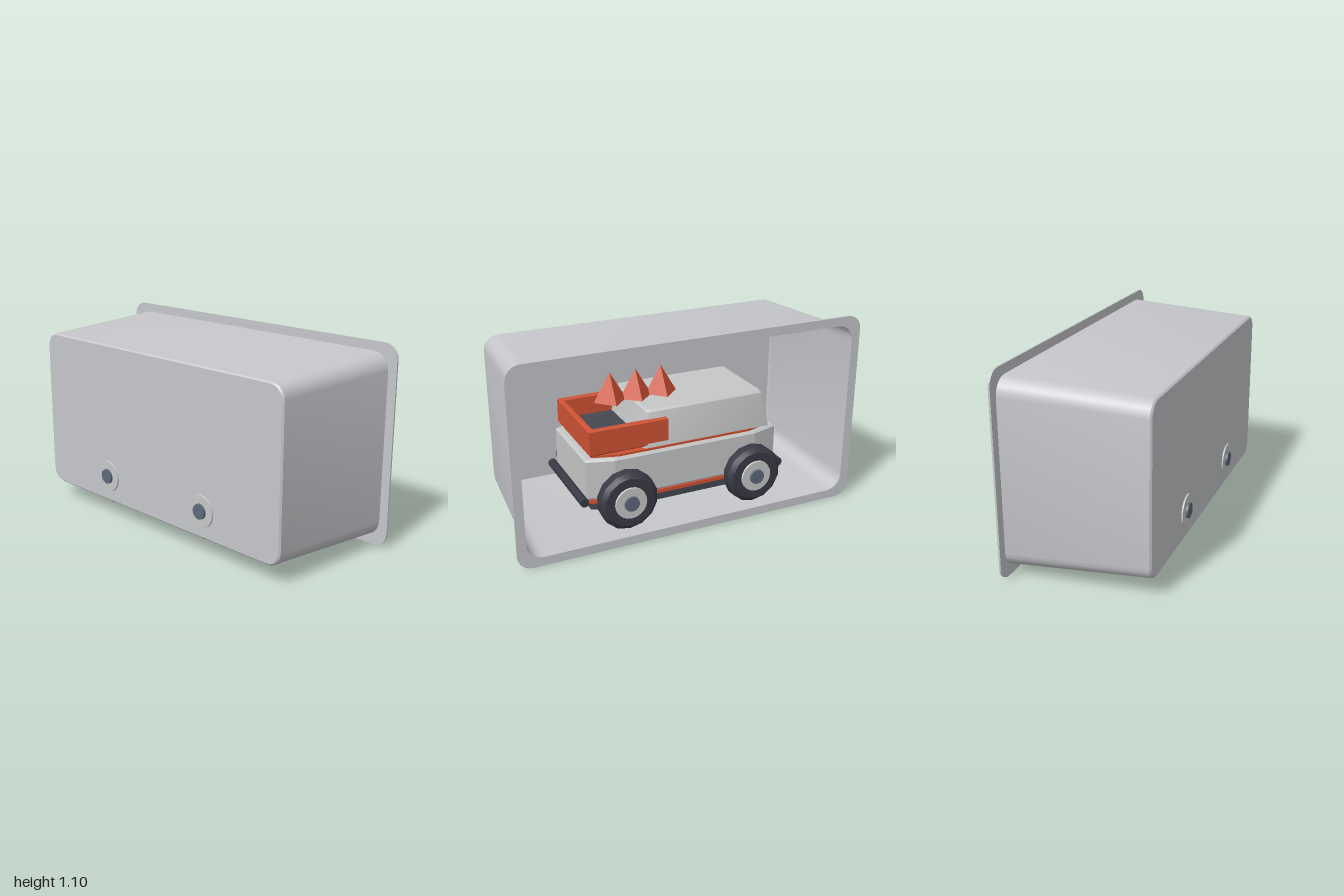
import * as THREE from 'three';
import { toCreasedNormals, mergeGeometries } from 'three/addons/utils/BufferGeometryUtils.js';

const mat = (name, color, side = THREE.FrontSide) => {
  const m = new THREE.MeshStandardMaterial({ color, side });
  m.name = name;
  return m;
};

// Counter-clockwise outline of a rounded rectangle
function roundedRect(cx, cy, hw, hh, r, seg = 5) {
  const pts = [];
  const corners = [[1, 1], [-1, 1], [-1, -1], [1, -1]];
  corners.forEach(([sx, sy], k) => {
    for (let i = 0; i <= seg; i++) {
      const a = (k + i / seg) * Math.PI / 2;
      pts.push(new THREE.Vector2(
        cx + sx * (hw - r) + Math.cos(a) * r,
        cy + sy * (hh - r) + Math.sin(a) * r));
    }
  });
  return pts;
}

// Skin a stack of outlines along z and cap the last one
function loft(layers, crease = 0.5) {
  const pos = [];
  const n = layers[0].pts.length;
  const put = (l, i) => pos.push(l.pts[i % n].x, l.pts[i % n].y, l.z);
  for (let k = 0; k < layers.length - 1; k++) {
    const a = layers[k], b = layers[k + 1];
    for (let i = 0; i < n; i++) {
      put(a, i); put(a, i + 1); put(b, i + 1);
      put(a, i); put(b, i + 1); put(b, i);
    }
  }
  const skin = new THREE.BufferGeometry();
  skin.setAttribute('position', new THREE.Float32BufferAttribute(pos, 3));
  skin.computeVertexNormals();
  const last = layers[layers.length - 1];
  const cap = new THREE.ShapeGeometry(new THREE.Shape(last.pts)).toNonIndexed();
  cap.translate(0, 0, last.z);
  cap.deleteAttribute('uv');
  return toCreasedNormals(mergeGeometries([skin, cap]), crease);
}

// Extrude a plan outline (x, -z) upward from y0 to y1 with a small bevel
function slab(points, y0, y1, bevel) {
  const shape = new THREE.Shape(points.map(([x, y]) => new THREE.Vector2(x, y)));
  const g = new THREE.ExtrudeGeometry(shape, {
    depth: y1 - y0 - 2 * bevel, bevelEnabled: bevel > 0, bevelSegments: 1,
    bevelSize: bevel, bevelThickness: bevel, bevelOffset: -bevel,
  });
  g.rotateX(-Math.PI / 2).translate(0, y0 + bevel, 0);
  return g;
}

export function createModel() {
  const shellGrey = mat('shell grey', 0xc6c7cb, THREE.DoubleSide);
  const bodyGrey = mat('body grey', 0xc6c8c8);
  const orange = mat('orange', 0xcf5234);
  const tyreDark = mat('tyre charcoal', 0x3a3a46);
  const bedDark = mat('bed charcoal', 0x454752);
  const hubSlate = mat('hub slate', 0x5c6878);

  const model = new THREE.Group();
  model.name = 'toyTruckInCase';
  const add = (parent, name, geo, material, x = 0, y = 0, z = 0) => {
    const m = new THREE.Mesh(geo, material);
    m.name = name;
    m.position.set(x, y, z);
    parent.add(m);
    return m;
  };

  // Case: tapered tub open at the back, with a flat flange
  const tub = loft([
    { pts: roundedRect(0, 0.55, 0.95, 0.5, 0.09), z: -0.38 },
    { pts: roundedRect(0, 0.555, 0.908, 0.456, 0.08), z: 0.376 },
    { pts: roundedRect(0, 0.555, 0.9, 0.448, 0.073), z: 0.385 },
  ]);
  add(model, 'caseTub', tub, shellGrey);
  const rim = new THREE.Shape(roundedRect(0, 0.55, 1, 0.55, 0.08));
  rim.holes.push(new THREE.Path(roundedRect(0, 0.55, 0.95, 0.5, 0.09).reverse()));
  add(model, 'caseFlange',
    new THREE.ExtrudeGeometry(rim, { depth: 0.01, bevelEnabled: false }), shellGrey, 0, 0, -0.385);

  const truck = new THREE.Group();
  truck.name = 'truck';
  model.add(truck);

  // Lower body and chassis, narrowing toward both ends
  const plan = (s) => [
    [0.57, -0.24], [0.57, 0.24], [0.42, 0.285], [-0.42, 0.285],
    [-0.57, 0.24], [-0.57, -0.24], [-0.42, -0.285], [0.42, -0.285],
  ].map(([x, y]) => [x * s, y * s]);
  add(truck, 'lowerBody', slab(plan(1), 0.235, 0.47, 0.012), bodyGrey);
  add(truck, 'sill', slab(plan(1), 0.215, 0.235, 0), orange);
  add(truck, 'underside', slab(plan(0.95), 0.17, 0.215, 0), bedDark);
  add(truck, 'beltLine', slab(plan(0.93), 0.47, 0.482, 0), orange);

  // Cabin with sloping walls
  const cabin = loft([
    { pts: roundedRect(-0.14, 0, 0.385, 0.26, 0.02, 2), z: 0.48 },
    { pts: roundedRect(-0.14, 0, 0.352, 0.23, 0.02, 2), z: 0.672 },
    { pts: roundedRect(-0.14, 0, 0.342, 0.22, 0.02, 2), z: 0.682 },
  ]);
  cabin.rotateX(-Math.PI / 2);
  add(truck, 'cabin', cabin, bodyGrey);

  // Load bed with a U-shaped rail
  add(truck, 'bedFloor', new THREE.BoxGeometry(0.36, 0.04, 0.46), bedDark, 0.34, 0.505, 0);
  const railPlan = [
    [0.1, -0.256], [0.548, -0.256], [0.548, 0.256], [0.1, 0.256],
    [0.1, 0.222], [0.514, 0.222], [0.514, -0.222], [0.1, -0.222],
  ];
  add(truck, 'bedRail', slab(railPlan, 0.49, 0.636, 0.008), orange);

  // Row of pyramid spikes
  for (let i = 0; i < 3; i++) {
    const spike = new THREE.ConeGeometry(0.095, 0.16, 4).toNonIndexed();
    spike.computeVertexNormals();
    add(truck, 'roofSpike', spike, orange, 0.03 + i * 0.15, 0.76, 0);
  }

  // Bumper bars at both ends
  for (const s of [1, -1]) {
    const bar = new THREE.CylinderGeometry(0.025, 0.025, 0.54, 10).rotateX(Math.PI / 2);
    add(truck, 'bumper', bar, tyreDark, s * 0.59, 0.24, 0);
  }

  // Wheels: chamfered tyre, pale rim disc and slate hub cap
  const tyreProfile = [[0, -0.045], [0.14, -0.045], [0.164, -0.03], [0.164, 0.022], [0.14, 0.044], [0, 0.044]];
  const tyre = toCreasedNormals(new THREE.LatheGeometry(
    tyreProfile.map(([r, y]) => new THREE.Vector2(r, y)), 14), 0.55).rotateX(Math.PI / 2);
  const disc = (r0, r1, h) => new THREE.CylinderGeometry(r0, r1, h, 20).rotateX(Math.PI / 2);
  for (const side of [1, -1]) {
    for (const x of [0.375, -0.375]) {
      const wheel = new THREE.Group();
      wheel.name = 'wheel';
      wheel.position.set(x, 0.25, side * 0.338);
      if (side < 0) wheel.rotation.y = Math.PI;
      add(wheel, 'tyre', tyre, tyreDark);
      add(wheel, 'rim', disc(0.088, 0.094, 0.034), bodyGrey, 0, 0, 0.038);
      add(wheel, 'hubCap', disc(0.041, 0.045, 0.04), hubSlate, 0, 0, 0.047);
      truck.add(wheel);
    }
  }
  return model;
}
